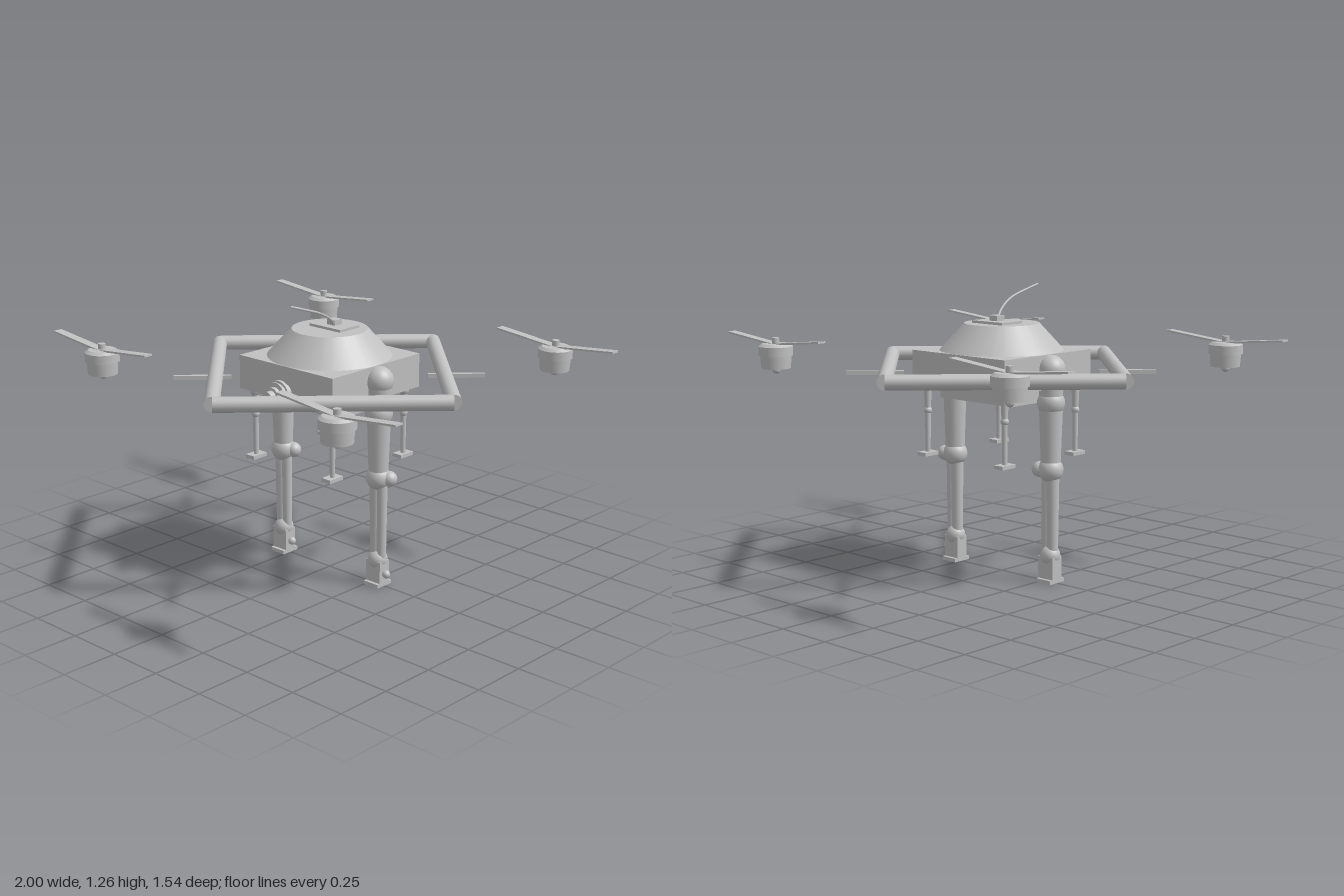
import * as THREE from 'three';

export function createModel() {
  const model = new THREE.Group();
  model.name = 'leggedDrone';
  const grey = new THREE.MeshStandardMaterial({ color: 0xc0c0c0 });
  grey.name = 'lightGrey';

  const add = (parent, name, geo, x = 0, y = 0, z = 0) => {
    const m = new THREE.Mesh(geo, grey);
    m.name = name;
    m.position.set(x, y, z);
    parent.add(m);
    return m;
  };
  const group = (name, x = 0, y = 0, z = 0) => {
    const g = new THREE.Group();
    g.name = name;
    g.position.set(x, y, z);
    model.add(g);
    return g;
  };
  const box = (p, name, w, h, d, x, y, z) => add(p, name, new THREE.BoxGeometry(w, h, d), x, y, z);
  const ball = (p, name, r, x, y, z) => add(p, name, new THREE.SphereGeometry(r, 24, 16), x, y, z);
  // Upright cylinder between two heights
  const post = (p, name, rBottom, rTop, y0, y1, x = 0, z = 0) =>
    add(p, name, new THREE.CylinderGeometry(rTop, rBottom, y1 - y0, 24), x, (y0 + y1) / 2, z);

  // Body
  box(model, 'bodyBox', 0.55, 0.15, 0.55, 0, 0.915, 0);
  box(model, 'bellyBox', 0.42, 0.065, 0.336, 0, 0.808, 0);
  add(model, 'bodyCover', new THREE.CylinderGeometry(0.165, 0.272, 0.117, 32), 0, 1.0485, 0);
  box(model, 'topPlate', 0.18, 0.012, 0.125, 0, 1.112, -0.03);
  box(model, 'antennaBase', 0.046, 0.024, 0.046, 0, 1.129, -0.03);

  // Antenna
  const curve = new THREE.CatmullRomCurve3([
    [0.005, 1.12, -0.02], [0.04, 1.16, 0.04], [0.063, 1.204, 0.128], [0.058, 1.232, 0.21], [0.045, 1.256, 0.284],
  ].map(p => new THREE.Vector3(...p)));
  add(model, 'antenna', new THREE.TubeGeometry(curve, 24, 0.005, 8));

  // Front camera
  const cam = group('frontCamera', 0, 0.875, 0.27);
  [['mount', 0.04, 0.0, 0.03], ['flange', 0.06, 0.03, 0.045], ['barrel', 0.05, 0.045, 0.06],
    ['ring', 0.058, 0.06, 0.066], ['lensBase', 0.038, 0.066, 0.085], ['lens', 0.026, 0.085, 0.113]]
    .forEach(([name, r, z0, z1]) => {
      add(cam, name, new THREE.CylinderGeometry(r, r, z1 - z0, 24), 0, 0, (z0 + z1) / 2).rotation.x = Math.PI / 2;
    });

  // Diamond frame and the short rods under its sides
  for (const sx of [-1, 1]) for (const sz of [-1, 1]) {
    const bar = add(model, 'frameBar', new THREE.CylinderGeometry(0.033, 0.033, 0.98, 24),
      sx * 0.348, 0.915, sz * 0.348);
    bar.rotation.set(0, sx * sz * Math.PI / 4, Math.PI / 2);
    const rod = box(model, 'frameRod', 0.25, 0.018, 0.02, sx * 0.39, 0.89, sz * 0.39);
    rod.rotation.y = -sx * sz * Math.PI / 4;
  }

  // Rotors
  const lower = [[0, 0.912], [0.064, 0.912], [0.068, 0.968]];
  const upper = [[0.068, 0.968], [0.075, 0.968], [0.075, 1.008], [0.06, 1.019], [0, 1.021]];
  // Lathe with hard edges: one strip per profile segment
  const strips = (p, name, pts) => {
    for (let i = 1; i < pts.length; i++) {
      add(p, name, new THREE.LatheGeometry([pts[i - 1], pts[i]].map(q => new THREE.Vector2(...q)), 32));
    }
  };
  for (const sx of [-1, 1]) for (const sz of [-1, 1]) {
    const r = group('rotor', sx * 0.693, 0, sz * 0.693);
    strips(r, 'motorBase', lower);
    strips(r, 'motorCap', upper);
    ball(r, 'motorTip', 0.019, 0, 0.906, 0);
    post(r, 'hub', 0.016, 0.016, 1.01, 1.045);
    for (const s of [-1, 1]) {
      const blade = box(r, 'blade', 0.308, 0.008, 0.042, s * 0.153, 1.032, 0);
      blade.rotation.z = s * 0.1;
    }
  }

  // Two main legs, identical on both sides
  for (const x of [-0.288, 0.288]) {
    const leg = group('mainLeg', x, 0, 0);
    ball(leg, 'shoulder', 0.062, 0, 0.928, 0);
    post(leg, 'upperLeg', 0.05, 0.056, 0.79, 0.928);
    ball(leg, 'hipJoint', 0.06, 0, 0.785, 0);
    post(leg, 'thigh', 0.042, 0.052, 0.5, 0.785);
    ball(leg, 'knee', 0.055, 0, 0.495, 0);
    ball(leg, 'kneeKnob', 0.034, 0.046, 0.494, -0.02);
    post(leg, 'shin', 0.024, 0.029, 0.1, 0.5, -0.012);
    post(leg, 'shinRod', 0.02, 0.024, 0.1, 0.5, 0.022);
    ball(leg, 'ankle', 0.044, 0, 0.118, 0);
    box(leg, 'footBlock', 0.08, 0.1, 0.06, 0, 0.066, 0);
    box(leg, 'footPlate', 0.08, 0.017, 0.09, 0, 0.0085, 0);
    ball(leg, 'footKnob', 0.018, 0.051, 0.058, 0);
  }

  // Four small support legs
  for (const x of [-0.23, 0.23]) for (const z of [-0.227, 0.227]) {
    const leg = group('supportLeg', x, 0, z);
    ball(leg, 'topJoint', 0.024, 0, 0.828, 0);
    post(leg, 'upperPost', 0.013, 0.018, 0.725, 0.828);
    ball(leg, 'middleJoint', 0.018, 0, 0.724, 0);
    post(leg, 'lowerPost', 0.011, 0.013, 0.535, 0.724);
    box(leg, 'pad', 0.05, 0.016, 0.08, 0, 0.532, 0);
  }
  return model;
}
